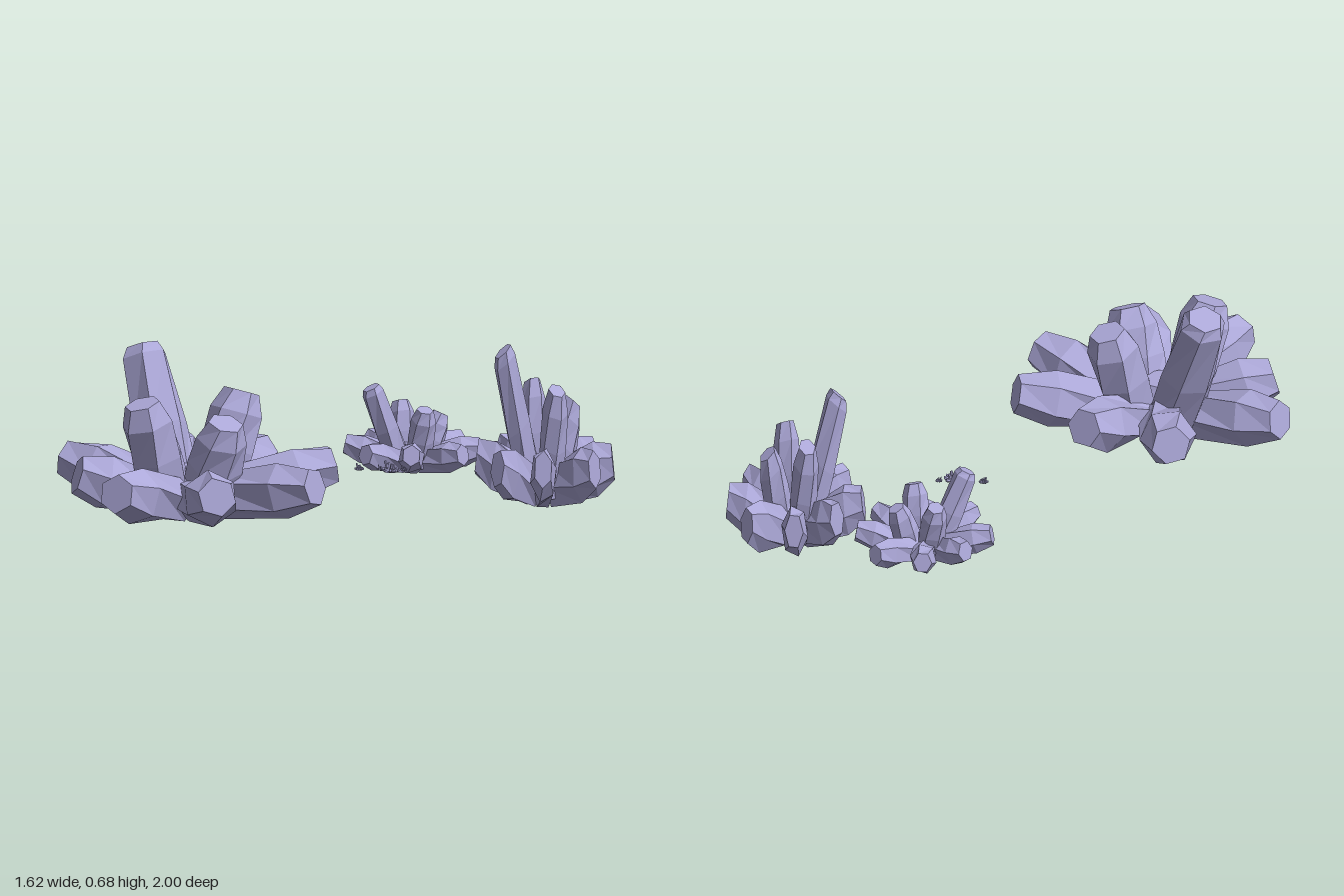
import * as THREE from 'three';

const material = new THREE.MeshStandardMaterial({ color: 0xaca8d8, flatShading: true, side: THREE.DoubleSide });
const rad = THREE.MathUtils.degToRad;

// Six-sided crystal from base to tip: rings = [position along axis, radius, twist in degrees]
function crystalGeometry(base, tip, rings) {
  const geo = new THREE.CylinderGeometry(1, 1, 1, 6, rings.length - 1);
  const axis = tip.clone().sub(base);
  const turn = new THREE.Quaternion().setFromUnitVectors(new THREE.Vector3(0, 1, 0), axis.clone().normalize());
  const p = geo.attributes.position, v = new THREE.Vector3();
  for (let i = 0; i < p.count; i++) {
    v.fromBufferAttribute(p, i);
    const [t, r, twist] = rings[Math.round((v.y + 0.5) * (rings.length - 1))];
    v.y = 0;
    v.multiplyScalar(r).applyAxisAngle(new THREE.Vector3(0, 1, 0), rad(twist));
    v.applyQuaternion(turn).add(base).addScaledVector(axis, t);
    p.setXYZ(i, v.x, Math.max(0, v.y), v.z);
  }
  geo.computeVertexNormals();
  return geo;
}

// Point at an angle (from +x towards +z), radius and height
const polar = (deg, r, y) => new THREE.Vector3(r * Math.cos(rad(deg)), y, r * Math.sin(rad(deg)));

// Spreading crystals: angle, reach, tip height
const outer = [
  [-35, 0.515, 0.165], [9, 0.515, 0.15], [57, 0.515, 0.155], [98, 0.515, 0.155],
  [146, 0.41, 0.16], [188, 0.51, 0.16], [240, 0.5, 0.17], [281, 0.45, 0.17],
];
// Rising crystals: angle, reach, tip height, shoulder position, shoulder radius
const inner = [
  [215, 0.325, 0.56, 0.93, 0.085], [119, 0.22, 0.425, 0.8, 0.095],
  [-58, 0.22, 0.425, 0.8, 0.095], [35, 0.23, 0.365, 0.78, 0.092],
];

const parts = [];
outer.forEach(([a, r, y], i) => parts.push(['outerCrystal', crystalGeometry(
  polar(a, 0.1, 0.07), polar(a, r, y),
  [[0, 0.088, i * 7], [0.68, 0.102, 22 + i * 7], [1, 0.07, 32 + i * 7]])]));
inner.forEach(([a, r, y, t, s], i) => parts.push(['tallCrystal', crystalGeometry(
  polar(a, 0.1, 0.06), polar(a, r, y),
  [[0, 0.095, i * 13], [0.45, 0.099, 10 + i * 13], [t, s, 20 + i * 13], [1, 0.064, 28 + i * 13]])]));
parts.push(['centreCrystal', crystalGeometry(polar(0, 0, 0.01), polar(0, 0, 0.18),
  [[0, 0.13, 0], [0.6, 0.12, 15], [1, 0.07, 25]])]);

function cluster(name, x, y, z, width, height, turn) {
  const group = new THREE.Group();
  group.name = name;
  for (const [part, geo] of parts) {
    const mesh = new THREE.Mesh(geo, material);
    mesh.name = part;
    group.add(mesh);
  }
  group.position.set(x, y, z);
  group.scale.set(width, height, width);
  group.rotation.y = rad(turn);
  return group;
}

export function createModel() {
  const model = new THREE.Group();
  model.name = 'crystalClusters';
  model.add(
    cluster('largeCluster', -0.29, 0.1, 0.475, 1, 1, 0),
    cluster('tallCluster', 0.562, 0, -0.722, 0.475, 1, 78),
    cluster('lowCluster', 0.042, 0.08, -0.758, 0.475, 0.55, 78),
    // scattered shards
    cluster('tinyCluster', 0.14, 0.15, -0.325, 0.06, 0.08, 78),
    cluster('tinyCluster', 0.03, 0.155, -0.302, 0.033, 0.045, 30),
    cluster('tinyCluster', 0.097, 0.155, -0.332, 0.024, 0.035, 10),
    cluster('tinyCluster', 0.177, 0.155, -0.36, 0.024, 0.035, 50),
  );
  return model;
}
